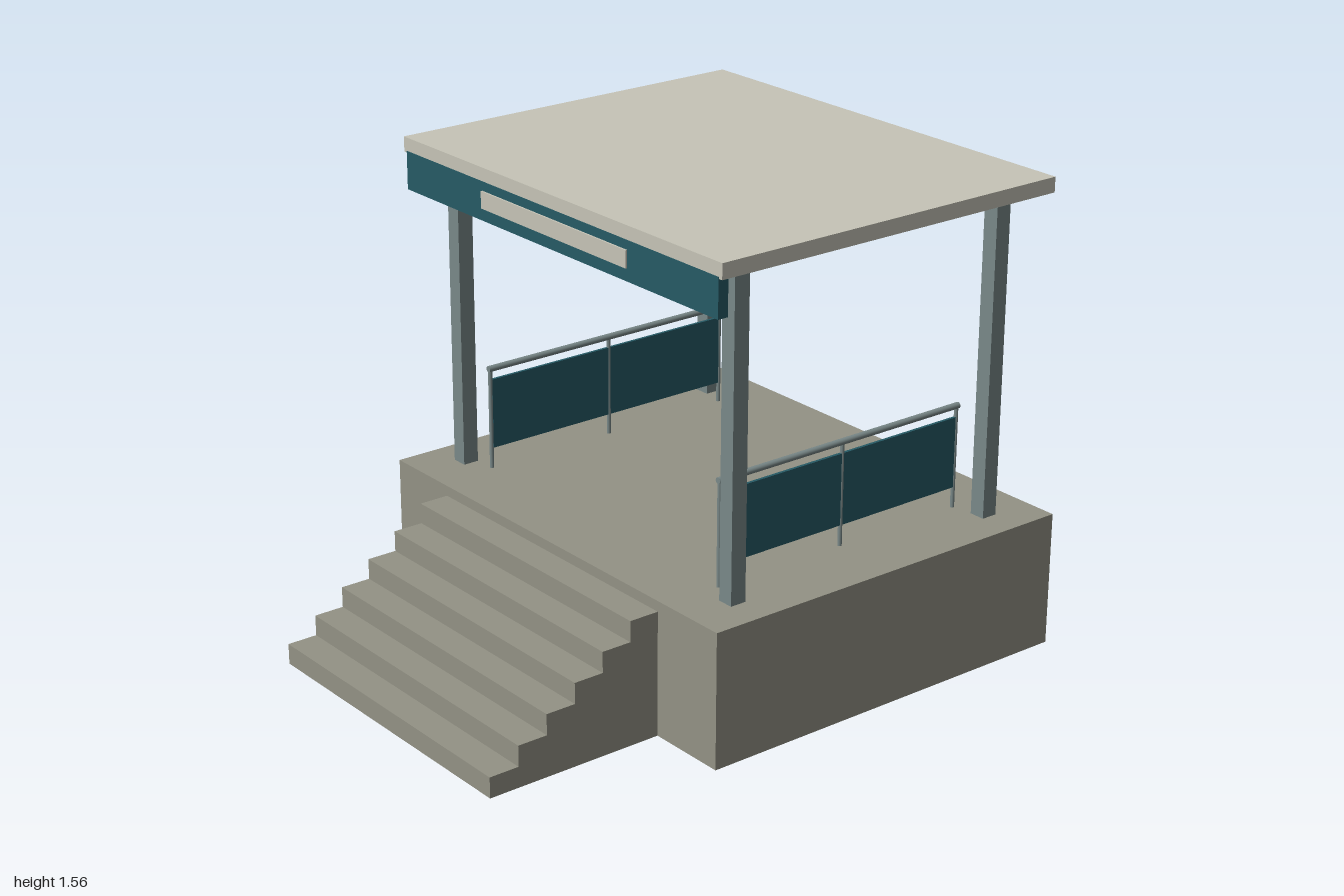
import * as THREE from 'three';

const concrete = new THREE.MeshStandardMaterial({ color: 0x939285 });
concrete.name = 'concrete';
const cream = new THREE.MeshStandardMaterial({ color: 0xc6c4b7 });
cream.name = 'cream';
const teal = new THREE.MeshStandardMaterial({ color: 0x265a65 });
teal.name = 'teal';
const steel = new THREE.MeshStandardMaterial({ color: 0x798888 });
steel.name = 'steel';

function add(parent, name, geometry, material, x = 0, y = 0, z = 0) {
  const mesh = new THREE.Mesh(geometry, material);
  mesh.name = name;
  mesh.position.set(x, y, z);
  parent.add(mesh);
  return mesh;
}

// Box given by its low and high corners
function box(parent, name, material, [x0, y0, z0], [x1, y1, z1]) {
  const geometry = new THREE.BoxGeometry(x1 - x0, y1 - y0, z1 - z0);
  return add(parent, name, geometry, material, (x0 + x1) / 2, (y0 + y1) / 2, (z0 + z1) / 2);
}

// Stepped side profile extruded across the width
function stairsGeometry(width, zBack, zFront, height, count) {
  const run = (zFront - zBack) / count;
  const rise = height / count;
  const shape = new THREE.Shape();
  shape.moveTo(zBack, 0);
  shape.lineTo(zFront, 0);
  for (let i = 0; i < count; i++) {
    shape.lineTo(zFront - i * run, (i + 1) * rise);
    shape.lineTo(zFront - (i + 1) * run, (i + 1) * rise);
  }
  const geometry = new THREE.ExtrudeGeometry(shape, { depth: width, bevelEnabled: false });
  geometry.translate(0, 0, -width / 2);
  geometry.rotateY(-Math.PI / 2); // profile x becomes z
  return geometry;
}

function createRailing(side) {
  const railing = new THREE.Group();
  railing.name = side > 0 ? 'leftRailing' : 'rightRailing';
  railing.position.x = side * 0.585;
  for (const z of [0.175, -0.31, -0.79]) {
    add(railing, 'railingPost', new THREE.CylinderGeometry(0.007, 0.007, 0.35, 12), steel, 0, 0.62, z);
  }
  const rail = add(railing, 'handrail', new THREE.CylinderGeometry(0.0105, 0.0105, 0.98, 16), steel, 0, 0.797, -0.308);
  rail.rotation.x = Math.PI / 2;
  box(railing, 'railingPanel', teal, [-0.005, 0.52, -0.785], [0.005, 0.76, 0.17]);
  return railing;
}

export function createModel() {
  const model = new THREE.Group();
  model.name = 'pavilion';

  // Base and front steps
  box(model, 'platform', concrete, [-0.825, 0, -1], [0.825, 0.45, 0.38]);
  add(model, 'steps', stairsGeometry(1.1, 0.38, 1, 0.415, 6), concrete);

  // Corner posts and railings, mirrored
  for (const side of [-1, 1]) {
    for (const z of [0.207, -0.828]) {
      add(model, 'cornerPost', new THREE.BoxGeometry(0.055, 1.065, 0.055), steel, side * 0.687, 0.9825, z);
    }
    model.add(createRailing(side));
  }

  // Flat roof with front fascia and blank sign plate
  box(model, 'roof', cream, [-0.79, 1.514, -0.965], [0.79, 1.564, 0.345]);
  box(model, 'fascia', teal, [-0.775, 1.393, 0.31], [0.775, 1.52, 0.346]);
  box(model, 'signPlate', cream, [-0.362, 1.434, 0.346], [0.362, 1.49, 0.352]);

  return model;
}
